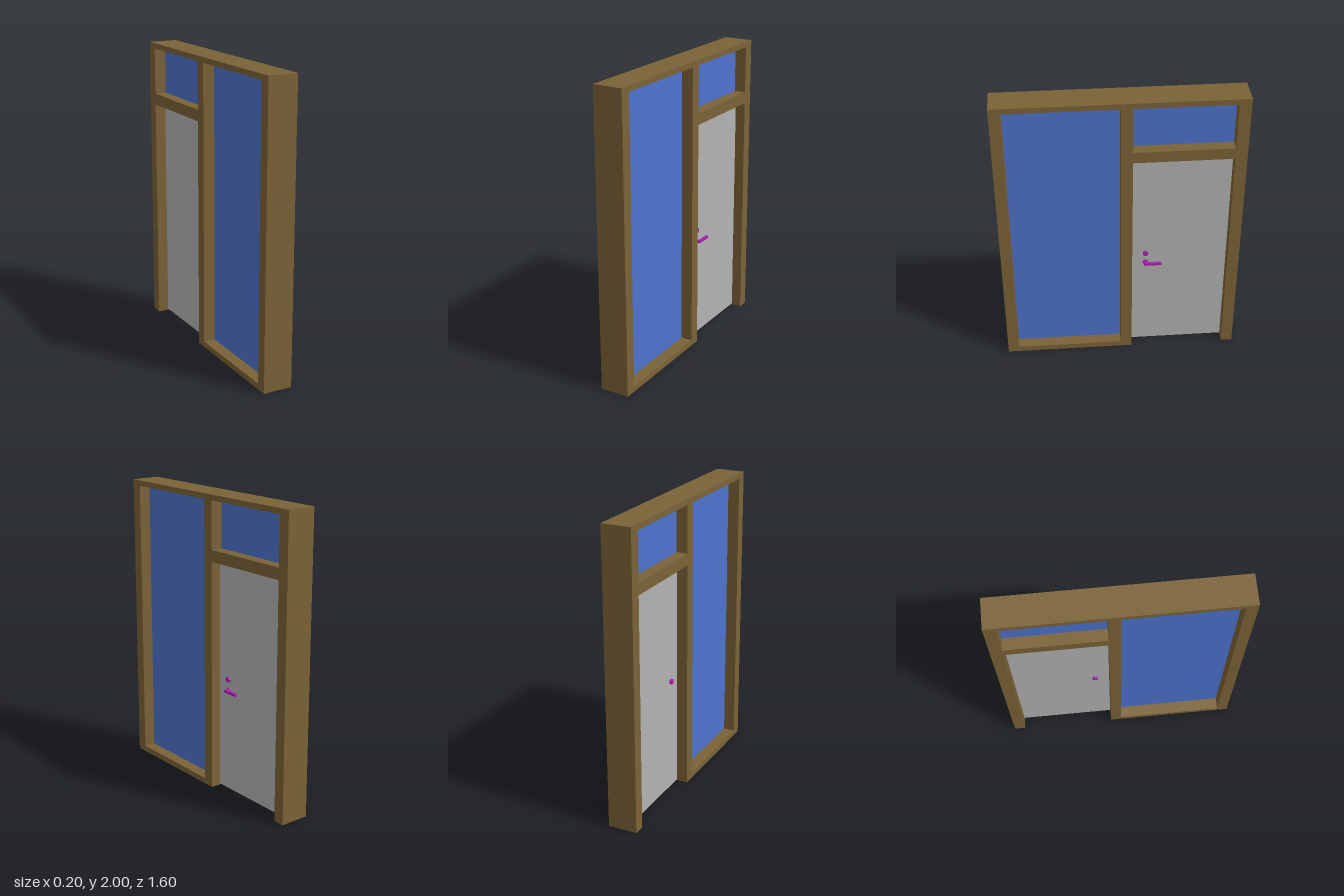
import * as THREE from 'three';

const paint = (name, color) => {
  const m = new THREE.MeshStandardMaterial({ color });
  m.name = name;
  return m;
};

export function createModel() {
  const wood = paint('brown frame', 0x7a6236);
  const blue = paint('blue glass', 0x4d72cc);
  const grey = paint('grey door', 0xb2b2b2);
  const magenta = paint('magenta fittings', 0xb01fb0);

  const model = new THREE.Group();
  model.name = 'doorWithSidelight';

  const add = (name, geometry, material, parent = model) => {
    const mesh = new THREE.Mesh(geometry, material);
    mesh.name = name;
    parent.add(mesh);
    return mesh;
  };

  // Box given by its extents on each axis
  const slab = (name, [x0, x1], [y0, y1], [z0, z1], material, parent) => {
    const mesh = add(name, new THREE.BoxGeometry(x1 - x0, y1 - y0, z1 - z0), material, parent);
    mesh.position.set((x0 + x1) / 2, (y0 + y1) / 2, (z0 + z1) / 2);
  };

  // Round fitting with its axis along x
  const disc = (name, radius, [x0, x1], y, z, parent) => {
    const geometry = new THREE.CylinderGeometry(radius, radius, x1 - x0, 12).rotateZ(Math.PI / 2);
    add(name, geometry, magenta, parent).position.set((x0 + x1) / 2, y, z);
  };

  // Openings, in z and y
  const sidelight = { z: [0, 0.725], y: [0.04, 1.963] };
  const transom = { z: [-0.722, -0.076], y: [1.647, 1.963] };
  const doorway = { z: [-0.722, -0.076], y: [0.008, 1.57] };

  // Frame: one outline notched for the doorway, with two holes for glass
  const points = (list) => list.map(([a, b]) => new THREE.Vector2(a, b));
  const outline = new THREE.Shape(points([
    [-0.8, 0], [doorway.z[0], 0], [doorway.z[0], doorway.y[1]],
    [doorway.z[1], doorway.y[1]], [doorway.z[1], 0], [0.8, 0], [0.8, 2], [-0.8, 2],
  ]));
  for (const { z, y } of [sidelight, transom]) {
    outline.holes.push(new THREE.Path(points([
      [z[0], y[0]], [z[0], y[1]], [z[1], y[1]], [z[1], y[0]],
    ])));
  }
  const frame = new THREE.ExtrudeGeometry(outline, { depth: 0.2, bevelEnabled: false });
  frame.translate(0, 0, -0.1).rotateY(-Math.PI / 2);
  add('frame', frame, wood);

  // Panes and door leaf
  slab('sidelightGlass', [-0.02, 0.02], sidelight.y, sidelight.z, blue);
  slab('transomGlass', [-0.02, 0.02], transom.y, transom.z, blue);
  slab('doorLeaf', [-0.025, 0.03], doorway.y, doorway.z, grey);

  // Lock cylinder, showing on both faces of the door
  disc('lock', 0.018, [-0.04, 0.045], 0.788, -0.172);

  // Lever handle on one face
  const handle = new THREE.Group();
  handle.name = 'leverHandle';
  model.add(handle);
  disc('handleRose', 0.018, [0.03, 0.037], 0.711, -0.172, handle);
  disc('handleStem', 0.01, [0.037, 0.06], 0.711, -0.172, handle);
  slab('handleLever', [0.05, 0.066], [0.702, 0.72], [-0.278, -0.165], magenta, handle);

  return model;
}
